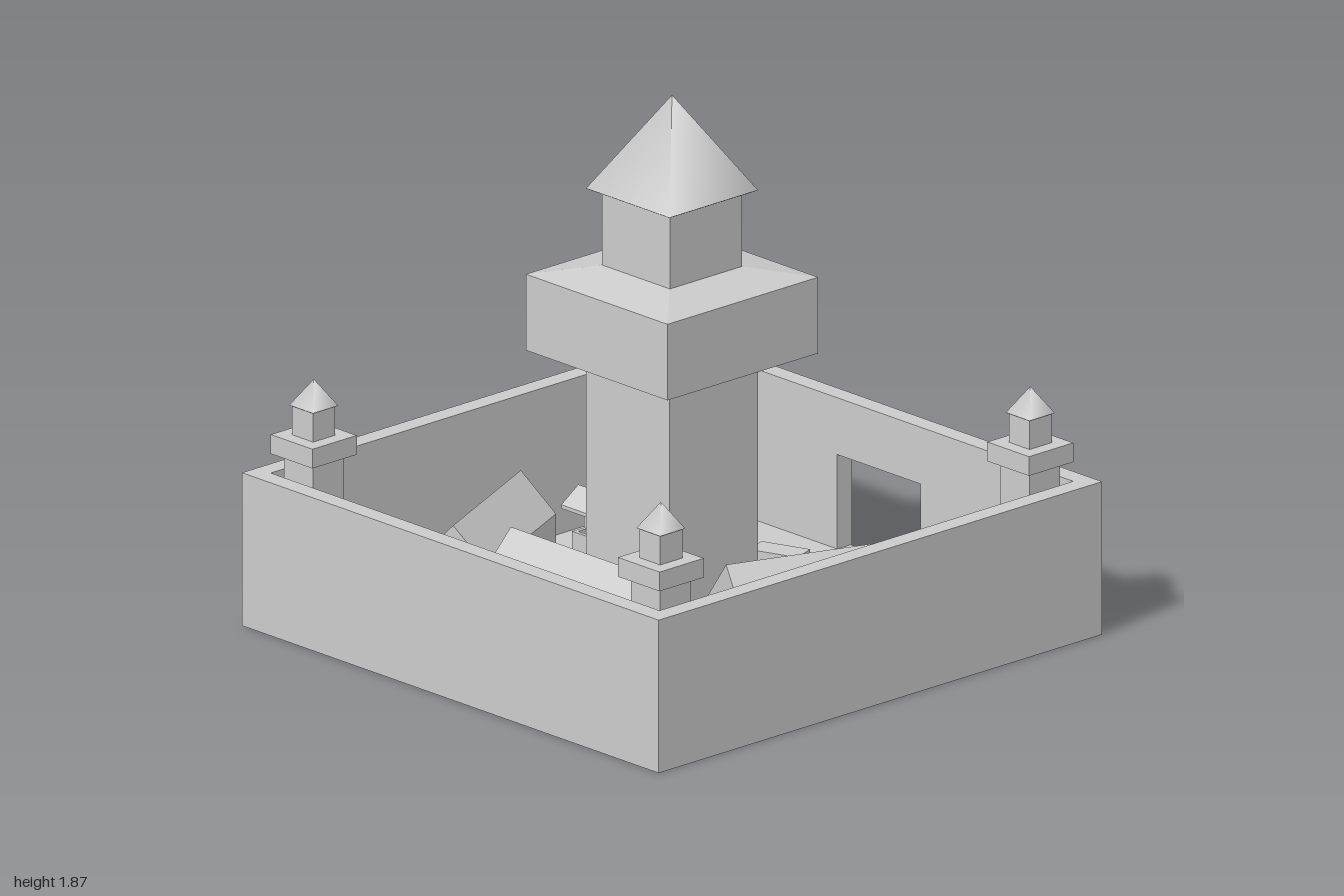
import * as THREE from 'three';

const smooth = new THREE.MeshStandardMaterial({ color: 0xcccccc });
const flat = new THREE.MeshStandardMaterial({ color: 0xcccccc, flatShading: true });

function add(parent, name, geometry, x = 0, y = 0, z = 0, material = flat) {
  const mesh = new THREE.Mesh(geometry, material);
  mesh.name = name;
  mesh.position.set(x, y, z);
  parent.add(mesh);
  return mesh;
}

function group(parent, name, x = 0, z = 0, turn = 0) {
  const g = new THREE.Group();
  g.name = name;
  g.position.set(x, 0, z);
  g.rotation.y = turn;
  parent.add(g);
  return g;
}

// Square block given by half width and its bottom and top heights
function block(parent, name, half, y0, y1) {
  return add(parent, name, new THREE.BoxGeometry(half * 2, y1 - y0, half * 2), 0, (y0 + y1) / 2, 0);
}

// Softly shaded four-sided spire with a small lip turned under the eaves
function spire(parent, half, inner, y0, y1) {
  const lip = (y1 - y0) * 0.025;
  const profile = [[0, y0], [inner, y0], [half, y0 + lip], [0, y1]]
    .map(([r, y]) => new THREE.Vector2(r * Math.SQRT2, y));
  return add(parent, 'spireRoof', new THREE.LatheGeometry(profile, 4, Math.PI / 4), 0, 0, 0, smooth);
}

// Shape in x/y extruded along z, centred on z = 0
function prism(points, length) {
  const shape = new THREE.Shape(points.map(([x, y]) => new THREE.Vector2(x, y)));
  return new THREE.ExtrudeGeometry(shape, { depth: length, bevelEnabled: false }).translate(0, 0, -length / 2);
}

// Gabled house with its ridge along its own z axis
function house(parent, name, x, z, turn, width, length, eave, ridge) {
  const w = width / 2;
  const g = group(parent, name, x, z, turn);
  add(g, 'houseBody', prism([[-w, 0], [w, 0], [w, eave], [0, ridge], [-w, eave]], length));
}

export function createModel() {
  const model = new THREE.Group();
  model.name = 'castle';

  // Courtyard floor and outer walls
  const H = 0.533, T = 0.067, inner = 1 - T;
  add(model, 'floor', new THREE.BoxGeometry(1.99, 0.006, 1.99), 0, 0.003, 0);
  for (const s of [-1, 1]) {
    add(model, s > 0 ? 'frontWall' : 'backWall', new THREE.BoxGeometry(2, H, T), 0, H / 2, s * (1 - T / 2));
  }
  add(model, 'rightWall', new THREE.BoxGeometry(T, H, inner * 2), -1 + T / 2, H / 2, 0);

  // Wall with the gateway
  const gate = prism([[-inner, 0], [-0.2, 0], [-0.2, 0.335], [0.2, 0.335], [0.2, 0],
    [inner, 0], [inner, H], [-inner, H]], T);
  add(model, 'gateWall', gate, 1 - T / 2, 0, 0).rotation.y = Math.PI / 2;

  // Central keep
  const keep = group(model, 'keep');
  block(keep, 'keepShaft', 0.2, 0, 0.97);
  block(keep, 'keepGallery', 0.34, 0.97, 1.235);
  const slope = new THREE.CylinderGeometry(0.163 * Math.SQRT2, 0.34 * Math.SQRT2, 0.035, 4);
  add(keep, 'gallerySlope', slope.rotateY(Math.PI / 4), 0, 1.2525, 0);
  block(keep, 'keepTurret', 0.163, 1.26, 1.535);
  spire(keep, 0.2, 0.185, 1.528, 1.865);

  // Corner towers
  for (const sx of [-1, 1]) {
    for (const sz of [-1, 1]) {
      const tower = group(model, 'cornerTower', sx * 0.833, sz * 0.833);
      block(tower, 'towerShaft', 0.069, 0, 0.6);
      block(tower, 'towerGallery', 0.1, 0.6, 0.667);
      block(tower, 'towerTurret', 0.05, 0.667, 0.772);
      spire(tower, 0.057, 0.053, 0.768, 0.862);
    }
  }

  // Houses in the yard
  house(model, 'sideHouse', -0.6, 0.23, 0, 0.33, 0.73, 0.3, 0.47);
  house(model, 'frontHouse', 0.067, 0.631, 1.223, 0.29, 0.66, 0.27, 0.42);
  house(model, 'backHouse', -0.267, -0.604, 2.0, 0.25, 0.589, 0.235, 0.37);

  // Well with a gabled canopy
  const well = group(model, 'well', 0.334, -0.711);
  for (const s of [-1, 1]) {
    add(well, 'wellSide', new THREE.BoxGeometry(0.014, 0.08, 0.12), s * 0.053, 0.04, 0);
    add(well, 'wellEnd', new THREE.BoxGeometry(0.092, 0.08, 0.014), 0, 0.04, s * 0.053);
    add(well, 'wellPost', new THREE.BoxGeometry(0.014, 0.13, 0.014), 0, 0.135, s * 0.053);
  }
  add(well, 'wellRoof', prism([[-0.077, 0.155], [0, 0.2], [0.077, 0.155], [0.077, 0.168],
    [0, 0.22], [-0.077, 0.168]], 0.188));

  // Stacked crates by the gate
  for (const [x, y, z] of [[0.475, 0, -0.008], [0.4, 0, 0.11], [0.435, 0.095, 0.053]]) {
    const crate = add(model, 'crate', new THREE.BoxGeometry(0.092, 0.095, 0.18), x, y + 0.0475, z);
    crate.rotation.y = 0.35;
  }

  // Small cart behind the front house
  const cart = group(model, 'cart', 0.262, 0.507, -0.348);
  add(cart, 'cartBed', new THREE.BoxGeometry(0.14, 0.045, 0.062), 0, 0.065, 0);
  for (const sx of [-1, 1]) {
    for (const sz of [-1, 1]) {
      const wheel = new THREE.CylinderGeometry(0.032, 0.032, 0.012, 12).rotateX(Math.PI / 2);
      add(cart, 'cartWheel', wheel, sx * 0.045, 0.032, sz * 0.038);
    }
  }
  return model;
}
